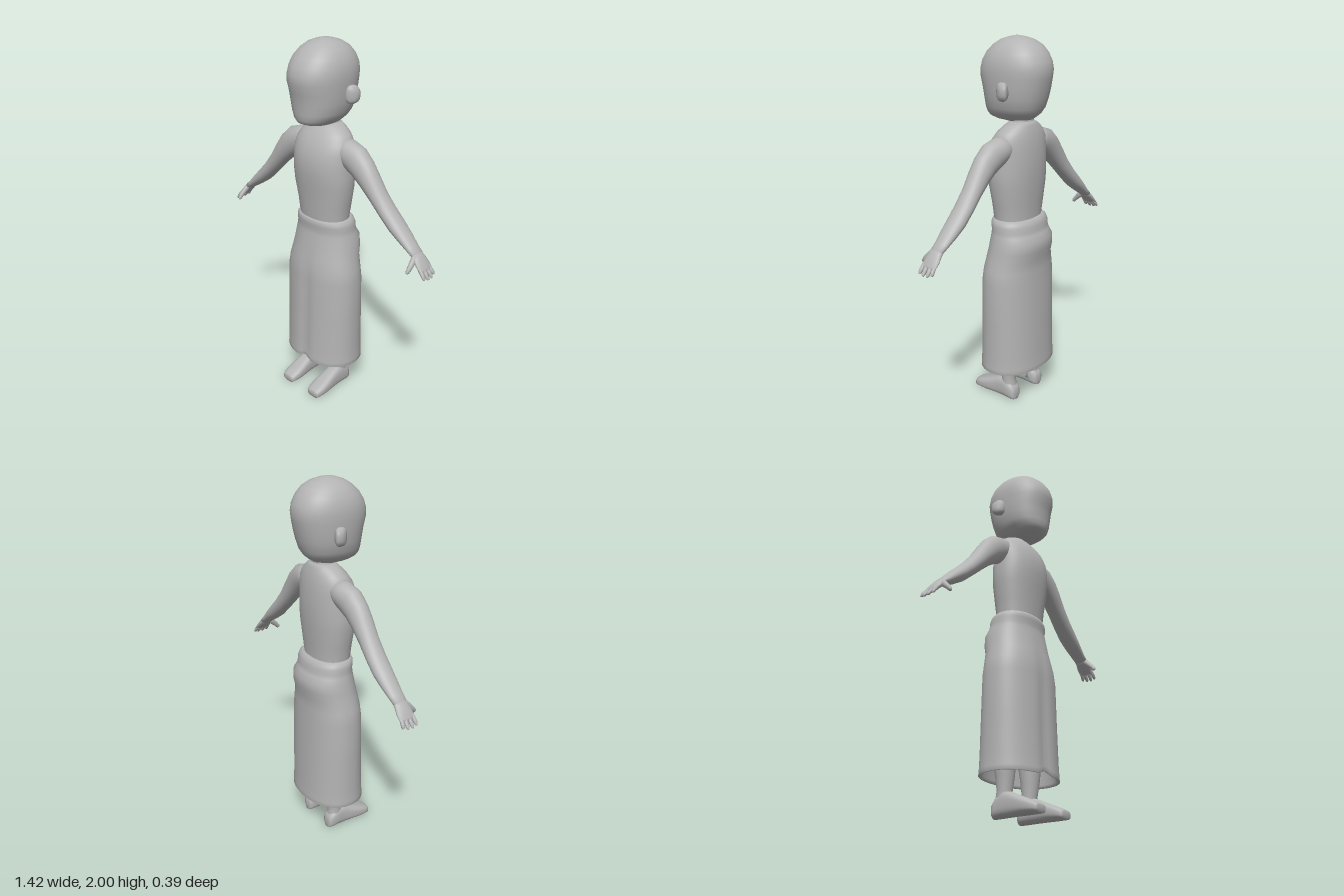
import * as THREE from 'three';

const V = (x, y, z) => new THREE.Vector3(x, y, z);
const X = V(1, 0, 0), Y = V(0, 1, 0), Z = V(0, 0, 1);

export function createModel() {
  const model = new THREE.Group();
  const grey = new THREE.MeshStandardMaterial({ color: 0xb4b4b4 });

  // Smooth loft through rings [cx, cy, cz, radiusU, radiusW, power].
  // d: fixed direction (null follows the ring centres); w: second ring axis; s: -1 mirrors in x.
  function loft(name, rings, { d = null, w = Z, s = 1, seg = 32, open = false, warp = null, parent = model } = {}) {
    const pos = [], idx = [], n = rings.length;
    const centre = (i) => V(...rings[Math.min(Math.max(i, 0), n - 1)].slice(0, 3));
    const put = (p) => pos.push(p.x * s, p.y, p.z);
    const tri = (a, b, c) => (s > 0 ? idx.push(a, b, c) : idx.push(a, c, b));
    rings.forEach(([, , , ru, rw, power = 2], i) => {
      const dir = d || centre(i + 1).sub(centre(i - 1)).normalize();
      const u = dir.clone().cross(w).normalize();
      const side = u.clone().cross(dir);
      for (let k = 0; k < seg; k++) {
        const t = (k / seg) * Math.PI * 2, c = Math.cos(t), q = Math.sin(t);
        const a = Math.sign(c) * Math.abs(c) ** (2 / power) * ru;
        const b = Math.sign(q) * Math.abs(q) ** (2 / power) * rw;
        const p = centre(i).addScaledVector(u, a).addScaledVector(side, b);
        if (warp) warp(p);
        put(p);
      }
    });
    for (let i = 0; i < n - 1; i++) {
      for (let k = 0; k < seg; k++) {
        const a = i * seg + k, b = i * seg + ((k + 1) % seg);
        tri(a, a + seg, b);
        tri(b, a + seg, b + seg);
      }
    }
    if (!open) {
      const first = pos.length / 3, last = (n - 1) * seg;
      put(centre(0));
      put(centre(n - 1));
      for (let k = 0; k < seg; k++) {
        const m = (k + 1) % seg;
        tri(first, k, m);
        tri(first + 1, last + m, last + k);
      }
    }
    const g = new THREE.BufferGeometry();
    g.setAttribute('position', new THREE.Float32BufferAttribute(pos, 3));
    g.setIndex(idx);
    g.computeVertexNormals();
    const mesh = new THREE.Mesh(g, grey);
    mesh.name = name;
    parent.add(mesh);
    return mesh;
  }

  // Horizontal ring from height, half width, front z and back z
  const level = ([y, hx, zf, zb, power = 2.2]) => [0, y, (zf + zb) / 2, hx, (zf - zb) / 2, power];

  // Head
  loft('head', [
    [1.578, 0.05, 0.05, -0.075], [1.588, 0.075, 0.125, -0.09], [1.6, 0.092, 0.155, -0.108],
    [1.62, 0.112, 0.166, -0.132], [1.65, 0.13, 0.169, -0.152], [1.7, 0.142, 0.174, -0.168],
    [1.75, 0.148, 0.182, -0.18], [1.8, 0.151, 0.196, -0.19], [1.84, 0.152, 0.195, -0.195],
    [1.88, 0.147, 0.183, -0.188], [1.92, 0.133, 0.158, -0.168], [1.955, 0.109, 0.122, -0.138],
    [1.98, 0.077, 0.083, -0.097], [1.993, 0.044, 0.045, -0.056], [2, 0.012, 0.01, -0.02],
  ].map(level), { d: Y, seg: 48 });

  // Neck
  loft('neck', [[1.54, 0.075, 0.03, -0.1], [1.575, 0.064, 0.018, -0.09], [1.63, 0.062, 0.02, -0.09]].map(level), { d: Y });

  // Torso
  loft('torso', [
    [1.0, 0.145, 0.085, -0.11], [1.07, 0.147, 0.095, -0.11], [1.15, 0.16, 0.1, -0.116],
    [1.25, 0.177, 0.113, -0.124], [1.32, 0.181, 0.12, -0.127], [1.38, 0.178, 0.122, -0.127],
    [1.44, 0.178, 0.112, -0.124], [1.49, 0.17, 0.092, -0.118], [1.53, 0.145, 0.066, -0.11],
    [1.56, 0.105, 0.04, -0.1], [1.58, 0.066, 0.02, -0.092],
  ].map(level), { d: Y, seg: 48 });

  // Long wrapped skirt: inner wall, hem, outer wall and rolled waistband
  loft('skirt', [
    [1.03, 0.14, 0.085, -0.105], [0.8, 0.19, 0.12, -0.14], [0.215, 0.218, 0.145, -0.16],
    [0.2, 0.226, 0.156, -0.17], [0.202, 0.234, 0.163, -0.176], [0.225, 0.232, 0.161, -0.174],
    [0.3, 0.23, 0.157, -0.171], [0.5, 0.23, 0.15, -0.166], [0.72, 0.23, 0.144, -0.16],
    [0.79, 0.219, 0.138, -0.157], [0.85, 0.204, 0.127, -0.158], [0.9, 0.196, 0.117, -0.172],
    [0.955, 0.187, 0.108, -0.173], [0.985, 0.178, 0.102, -0.152], [1.01, 0.173, 0.1, -0.145],
    [1.035, 0.174, 0.104, -0.143], [1.055, 0.168, 0.104, -0.135], [1.07, 0.155, 0.098, -0.122],
    [1.068, 0.14, 0.085, -0.105],
  ].map(level), {
    d: Y, seg: 64, open: true,
    // Shallow fold down the middle of the front, lifting the hem
    warp: (p) => {
      if (p.z < 0 || p.y > 0.95) return;
      const fold = Math.exp(-((p.x / 0.035) ** 2));
      p.z -= 0.012 * fold * Math.min(1, (0.95 - p.y) / 0.4);
      if (p.y < 0.26) p.y += 0.02 * fold;
    },
  });

  for (const s of [1, -1]) {
    const side = s > 0 ? 'left' : 'right';
    const limb = (part) => {
      const g = new THREE.Group();
      g.name = side + part;
      model.add(g);
      return g;
    };

    // Arm, following the shoulder down to the wrist
    const arm = limb('Arm');
    loft('armLimb', [
      [0.1, 1.465, -0.022, 0.06, 0.065], [0.16, 1.448, -0.018, 0.07, 0.064],
      [0.215, 1.425, -0.014, 0.078, 0.062], [0.262, 1.39, -0.012, 0.07, 0.059],
      [0.31, 1.34, -0.012, 0.058, 0.056], [0.365, 1.275, -0.014, 0.047, 0.052],
      [0.425, 1.21, -0.017, 0.041, 0.053], [0.485, 1.152, -0.019, 0.039, 0.053],
      [0.54, 1.107, -0.019, 0.032, 0.048], [0.59, 1.066, -0.018, 0.023, 0.041],
      [0.622, 1.042, -0.017, 0.019, 0.038],
    ], { s, parent: arm });

    // Hand: palm, four fingers and a thumb
    loft('palm', [
      [0.605, 1.055, -0.017, 0.017, 0.036], [0.63, 1.033, -0.017, 0.019, 0.04],
      [0.655, 1.005, -0.017, 0.016, 0.047], [0.677, 0.981, -0.017, 0.011, 0.046],
      [0.682, 0.975, -0.017, 0.006, 0.042],
    ], { s, parent: arm, seg: 20 });
    const fingers = [[0.021, 0.005], [-0.004, 0], [-0.03, 0.001], [-0.053, 0.009]];
    for (const [z, short] of fingers) {
      loft('finger', [
        [0.666, 0.993, z * 0.9, 0.01, 0.01], [0.689, 0.966, z, 0.01, 0.011],
        [0.703 - short, 0.947 + short, z * 1.05, 0.008, 0.009],
        [0.708 - short, 0.94 + short, z * 1.05, 0.003, 0.004],
      ], { s, parent: arm, seg: 10 });
    }
    loft('thumb', [
      [0.624, 1.04, 0.003, 0.015, 0.018], [0.629, 1.015, 0.03, 0.014, 0.016],
      [0.631, 0.995, 0.052, 0.012, 0.013], [0.63, 0.978, 0.066, 0.009, 0.011],
      [0.629, 0.972, 0.071, 0.004, 0.004],
    ], { s, parent: arm, seg: 12 });

    // Leg, widening up under the skirt
    const leg = limb('Leg');
    loft('legLimb', [
      [0.1, 0.04, -0.028, 0.042, 0.045], [0.1, 0.09, -0.025, 0.04, 0.043],
      [0.1, 0.13, -0.021, 0.039, 0.039], [0.101, 0.2, -0.019, 0.047, 0.049],
      [0.102, 0.32, -0.022, 0.061, 0.064], [0.102, 0.45, -0.015, 0.062, 0.066],
      [0.1, 0.7, -0.01, 0.08, 0.085], [0.09, 0.95, -0.01, 0.08, 0.085],
    ], { d: Y, s, parent: leg });

    // Foot, from heel to toe: [z, half width, top height]
    loft('foot', [
      [-0.081, 0.02, 0.05], [-0.076, 0.034, 0.075], [-0.055, 0.042, 0.1], [-0.01, 0.043, 0.128],
      [0.03, 0.043, 0.118], [0.07, 0.046, 0.1], [0.11, 0.05, 0.083], [0.15, 0.05, 0.066],
      [0.18, 0.045, 0.053], [0.194, 0.039, 0.045], [0.198, 0.03, 0.036],
    ].map(([z, hw, top]) => {
      const low = Math.abs(z) > 0.195 ? 0.012 : 0;
      return [0.102, (top + low) / 2, z, hw, (top - low) / 2, 2.8];
    }), { d: Z, w: V(0, -1, 0), s, parent: leg });

    // Ear, flaring outward toward the back
    loft('ear', [
      [0.13, 1.742, -0.03, 0.04, 0.026, 2.6], [0.15, 1.742, -0.034, 0.046, 0.032, 2.8],
      [0.167, 1.742, -0.04, 0.046, 0.034, 2.8], [0.179, 1.74, -0.048, 0.034, 0.025, 2.6],
      [0.184, 1.738, -0.052, 0.016, 0.012, 2.4],
    ], { d: X, w: V(0, 0, -1), s, seg: 20 });
  }

  return model;
}
